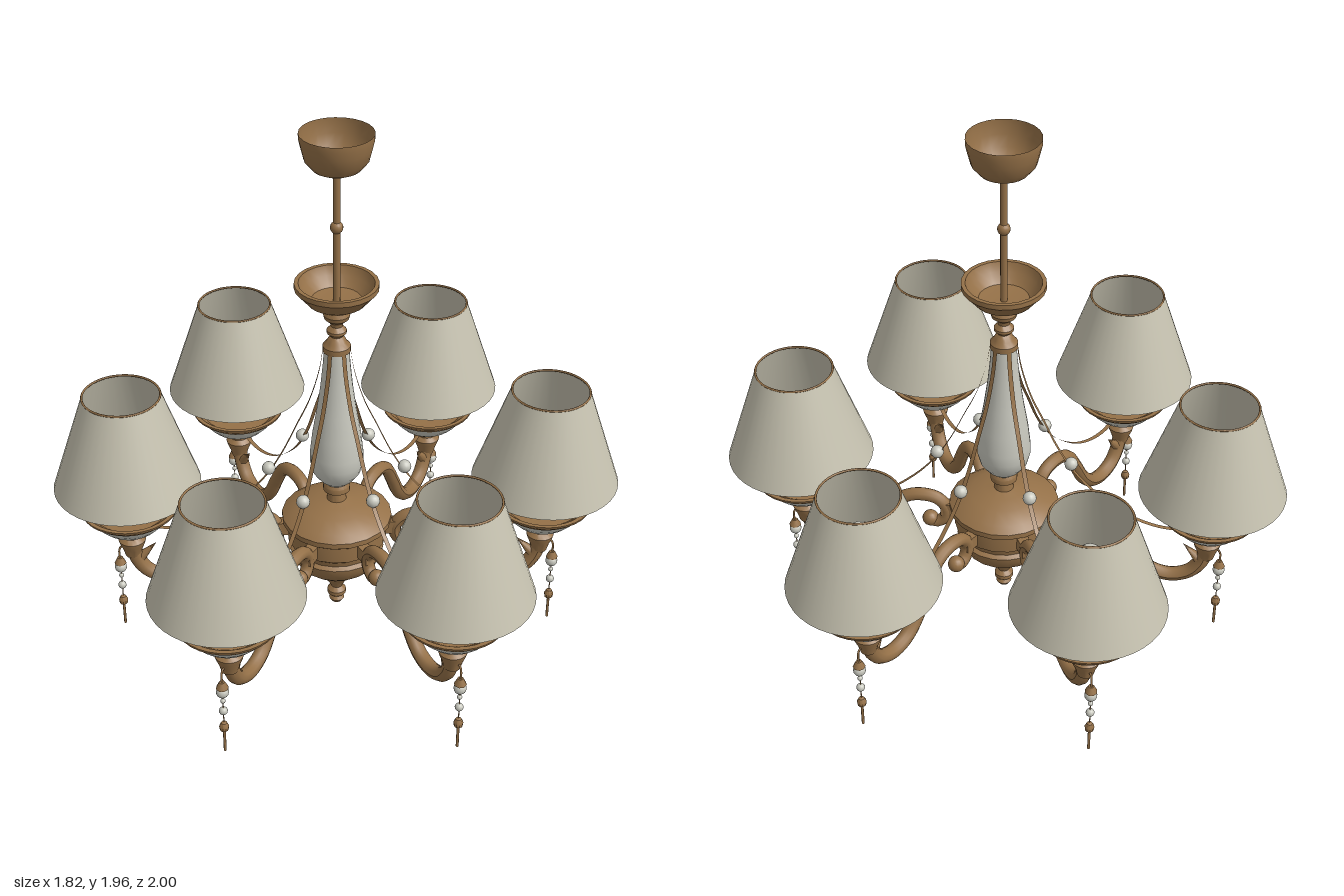
import * as THREE from 'three';
import { toCreasedNormals } from 'three/addons/utils/BufferGeometryUtils.js';

const mat = (name, color) => new THREE.MeshStandardMaterial({ name, color, side: THREE.DoubleSide });
const bronze = mat('bronze', 0x957148);
const fabric = mat('shade fabric', 0xc6c2b0);
const porcelain = mat('porcelain', 0xc8c8be);

function add(parent, name, geometry, material, x = 0, y = 0, z = 0) {
  const mesh = new THREE.Mesh(geometry, material);
  mesh.name = name;
  mesh.position.set(x, y, z);
  parent.add(mesh);
  return mesh;
}

// Turned part from [radius, height] pairs, listed from the bottom up
function turned(profile, segments = 24) {
  const points = profile.map(([r, y]) => new THREE.Vector2(r, y));
  return toCreasedNormals(new THREE.LatheGeometry(points, segments), 0.6);
}

const curveOf = (pairs) =>
  new THREE.CatmullRomCurve3(pairs.map(([r, y]) => new THREE.Vector3(r, y, 0)), false, 'centripetal');

const ball = (r) => new THREE.SphereGeometry(r, 14, 10);

// Flat strip that follows a curve in the xy plane
function ribbon(curve, width, steps) {
  const geometry = new THREE.PlaneGeometry(1, width, steps, 1);
  const pos = geometry.attributes.position;
  for (let i = 0; i < pos.count; i++) {
    const p = curve.getPoint(pos.getX(i) + 0.5);
    pos.setXYZ(i, p.x, p.y, pos.getY(i));
  }
  geometry.computeVertexNormals();
  return geometry;
}

// Tube whose radius swells towards its far end
function taperedTube(curve, steps, sides, r0, r1) {
  const geometry = new THREE.TubeGeometry(curve, steps, 1, sides);
  const pos = geometry.attributes.position;
  const v = new THREE.Vector3();
  for (let i = 0; i < pos.count; i++) {
    const t = Math.floor(i / (sides + 1)) / steps;
    const c = curve.getPointAt(t);
    v.fromBufferAttribute(pos, i).sub(c).multiplyScalar(r0 + (r1 - r0) * t).add(c);
    pos.setXYZ(i, v.x, v.y, v.z);
  }
  geometry.computeVertexNormals();
  return geometry;
}

function createColumn() {
  const column = new THREE.Group();
  column.name = 'centralColumn';
  // Ceiling canopy and rod
  add(column, 'ceilingCanopy', turned([
    [0.012, 1.815], [0.04, 1.82], [0.08, 1.84], [0.105, 1.87], [0.115, 1.91], [0.122, 1.94], [0.122, 1.96],
  ]), bronze);
  add(column, 'rod', new THREE.CylinderGeometry(0.012, 0.012, 0.48, 12), bronze, 0, 1.59);
  add(column, 'rodKnob', ball(0.022), bronze, 0, 1.63);
  // Open upper dish with its turned neck
  add(column, 'upperDish', turned([
    [0.048, 1.17], [0.048, 1.19], [0.035, 1.205], [0.03, 1.215], [0.02, 1.225], [0.034, 1.24], [0.034, 1.25],
    [0.02, 1.265], [0.024, 1.28], [0.042, 1.295], [0.046, 1.31], [0.04, 1.325], [0.06, 1.335], [0.1, 1.36],
    [0.128, 1.395], [0.142, 1.41], [0.142, 1.428], [0.128, 1.428], [0.115, 1.395], [0.085, 1.365], [0, 1.355],
  ]), bronze);
  // Pear-shaped porcelain stem
  add(column, 'porcelainStem', turned([
    [0.04, 0.63], [0.062, 0.65], [0.084, 0.68], [0.094, 0.72], [0.094, 0.76], [0.085, 0.84], [0.07, 0.93],
    [0.056, 1.03], [0.047, 1.12], [0.043, 1.18],
  ]), porcelain);
  // Lower hub with drop finial
  add(column, 'hub', turned([
    [0, 0.09], [0.018, 0.095], [0.028, 0.11], [0.02, 0.122], [0.034, 0.135], [0.034, 0.15], [0.02, 0.165],
    [0.03, 0.185], [0.045, 0.21], [0.065, 0.235], [0.11, 0.265], [0.145, 0.295], [0.165, 0.33], [0.17, 0.355],
    [0.155, 0.365], [0.16, 0.385], [0.178, 0.4], [0.178, 0.46], [0.197, 0.475], [0.197, 0.495], [0.17, 0.515],
    [0.12, 0.54], [0.07, 0.552], [0.035, 0.56], [0.03, 0.59], [0.048, 0.6], [0.048, 0.62], [0.035, 0.64],
  ], 20), bronze);
  return column;
}

function createArm() {
  const arm = new THREE.Group();
  arm.name = 'lampArm';
  const R = 0.74;
  // Scrolled arm
  add(arm, 'scrollArm', taperedTube(curveOf([
    [0.275, 0.375], [0.25, 0.365], [0.22, 0.385], [0.21, 0.43], [0.245, 0.475], [0.32, 0.485], [0.385, 0.455],
    [0.44, 0.375], [0.49, 0.29], [0.55, 0.235], [0.62, 0.22], [0.685, 0.245], [0.725, 0.3], [R, 0.37],
  ]), 56, 10, 0.023, 0.028), bronze);
  add(arm, 'scrollEnd', ball(0.03), bronze, 0.272, 0.378);
  add(arm, 'hubSocket', new THREE.BoxGeometry(0.08, 0.05, 0.04), bronze, 0.19, 0.435);
  // Small leaf on the inner side of the arm
  const leaf = add(arm, 'leaf', new THREE.ConeGeometry(0.024, 0.1, 8), bronze, 0.688, 0.335);
  leaf.rotation.z = 0.75;
  // Drip cup: bronze foot, porcelain bowl, bronze rim
  add(arm, 'cupFoot', turned([
    [0.028, 0.32], [0.036, 0.35], [0.046, 0.375], [0.05, 0.39], [0.034, 0.405], [0.034, 0.415], [0.06, 0.428],
    [0.075, 0.44],
  ]), bronze, R);
  add(arm, 'cupBowl', turned([[0.07, 0.438], [0.1, 0.455], [0.125, 0.48], [0.138, 0.505]]), porcelain, R);
  add(arm, 'cupRim', turned([
    [0.136, 0.5], [0.15, 0.51], [0.172, 0.53], [0.175, 0.54], [0.16, 0.54], [0.13, 0.515], [0, 0.51],
  ], 32), bronze, R);
  // Candle sleeve and bulb
  add(arm, 'candle', new THREE.CylinderGeometry(0.046, 0.046, 0.29, 20), bronze, R, 0.655);
  add(arm, 'bulb', ball(0.05), porcelain, R, 0.83);
  // Open conical shade with a bronze top rim
  add(arm, 'shade', new THREE.CylinderGeometry(0.136, 0.26, 0.365, 40, 1, true), fabric, R, 0.8175);
  const shadeRim = add(arm, 'shadeRim', new THREE.TorusGeometry(0.135, 0.004, 6, 40), bronze, R, 0.998);
  shadeRim.rotation.x = Math.PI / 2;
  // Garland strip from stem to cup, with one bead
  add(arm, 'garland', ribbon(curveOf([
    [0.046, 1.18], [0.06, 1.09], [0.095, 0.97], [0.14, 0.87], [0.19, 0.76], [0.25, 0.66], [0.33, 0.57],
    [0.45, 0.48], [0.56, 0.44], [0.64, 0.438], [0.71, 0.465],
  ]), 0.016, 40), bronze);
  add(arm, 'garlandBead', ball(0.024), porcelain, 0.24, 0.69);
  // Pendant hanging from the cup
  const P = 0.79;
  add(arm, 'pendantHook', new THREE.TubeGeometry(curveOf([
    [0.765, 0.345], [0.78, 0.355], [P, 0.34], [P, 0.29],
  ]), 12, 0.004, 6), bronze);
  add(arm, 'pendantCap', new THREE.CylinderGeometry(0.01, 0.022, 0.025, 8), bronze, P, 0.292);
  add(arm, 'pendantBead', ball(0.022), porcelain, P, 0.262);
  add(arm, 'pendantWire', new THREE.CylinderGeometry(0.002, 0.002, 0.2, 6), bronze, P, 0.2);
  add(arm, 'pendantBead', ball(0.009), porcelain, P, 0.222);
  add(arm, 'pendantBead', ball(0.015), porcelain, P, 0.178);
  add(arm, 'pendantBell', turned([
    [0, 0.095], [0.015, 0.095], [0.017, 0.11], [0.01, 0.125], [0, 0.13],
  ], 10), bronze, P);
  add(arm, 'pendantRod', new THREE.CylinderGeometry(0.005, 0.005, 0.1, 8), bronze, P, 0.05);
  return arm;
}

export function createModel() {
  const model = new THREE.Group();
  model.name = 'chandelier';
  model.add(createColumn());
  // Six arms, turned very slightly off the axes
  for (let i = 0; i < 6; i++) {
    const arm = createArm();
    arm.rotation.y = -THREE.MathUtils.degToRad(31.3 + i * 60);
    model.add(arm);
  }
  return model;
}
